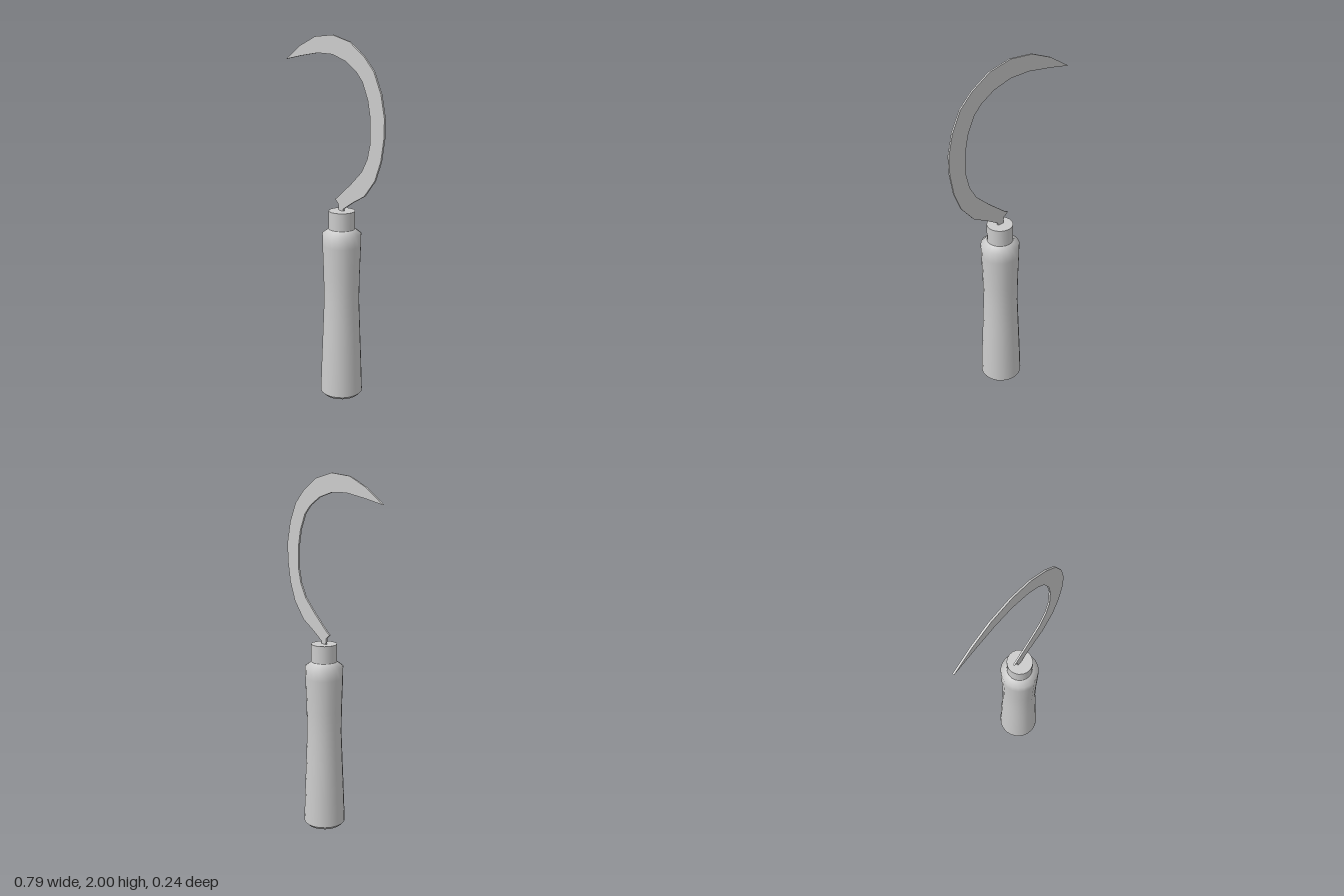
import * as THREE from 'three';

const SIDES = 20;
const AXIS_X = 0.073; // handle axis, offset so the whole tool is centred
const BLADE_THICKNESS = 0.01;

export function createModel() {
  const group = new THREE.Group();
  const material = new THREE.MeshStandardMaterial({ color: 0xcccccc });

  const add = (name, geometry, x = 0, y = 0, z = 0) => {
    const mesh = new THREE.Mesh(geometry, material);
    mesh.name = name;
    mesh.position.set(x, y, z);
    group.add(mesh);
  };
  const points = (list) => list.map(([x, y]) => new THREE.Vector2(x, y));

  // Chamfered butt of the handle
  add('handleButt', new THREE.CylinderGeometry(0.118, 0.1, 0.018, SIDES), AXIS_X, 0.009);

  // Waisted grip with a rounded shoulder
  const grip = points([
    [0.118, 0.018], [0.112, 0.2], [0.104, 0.4], [0.098, 0.56],
    [0.1, 0.7], [0.106, 0.88], [0.107, 0.945], [0.072, 0.972],
  ]);
  add('handleGrip', new THREE.LatheGeometry(grip, SIDES), AXIS_X);

  // Collar holding the blade
  add('ferrule', new THREE.CylinderGeometry(0.072, 0.072, 0.11, SIDES), AXIS_X, 1.017);

  // Flat hooked blade: tang, outer edge up to the tip, inner edge back to the heel
  const outline = points([
    [0.058, 1.04], [0.083, 1.04], [0.09, 1.085],
    [0.159, 1.13], [0.254, 1.183], [0.333, 1.278], [0.375, 1.384], [0.396, 1.505],
    [0.397, 1.606], [0.37, 1.722], [0.317, 1.83], [0.243, 1.902], [0.132, 1.97],
    [0, 2], [-0.143, 1.987], [-0.27, 1.935], [-0.397, 1.855],
    [-0.265, 1.88], [-0.12, 1.902], [0, 1.9], [0.106, 1.87], [0.185, 1.823],
    [0.233, 1.775], [0.275, 1.685], [0.294, 1.595], [0.296, 1.468], [0.275, 1.384],
    [0.233, 1.31], [0.148, 1.23], [0.037, 1.138], [0.02, 1.13], [0.048, 1.108],
  ]);
  const blade = new THREE.ExtrudeGeometry(new THREE.Shape(outline), {
    depth: BLADE_THICKNESS,
    bevelEnabled: false,
  });
  add('blade', blade, 0, 0, -BLADE_THICKNESS / 2);

  return group;
}
